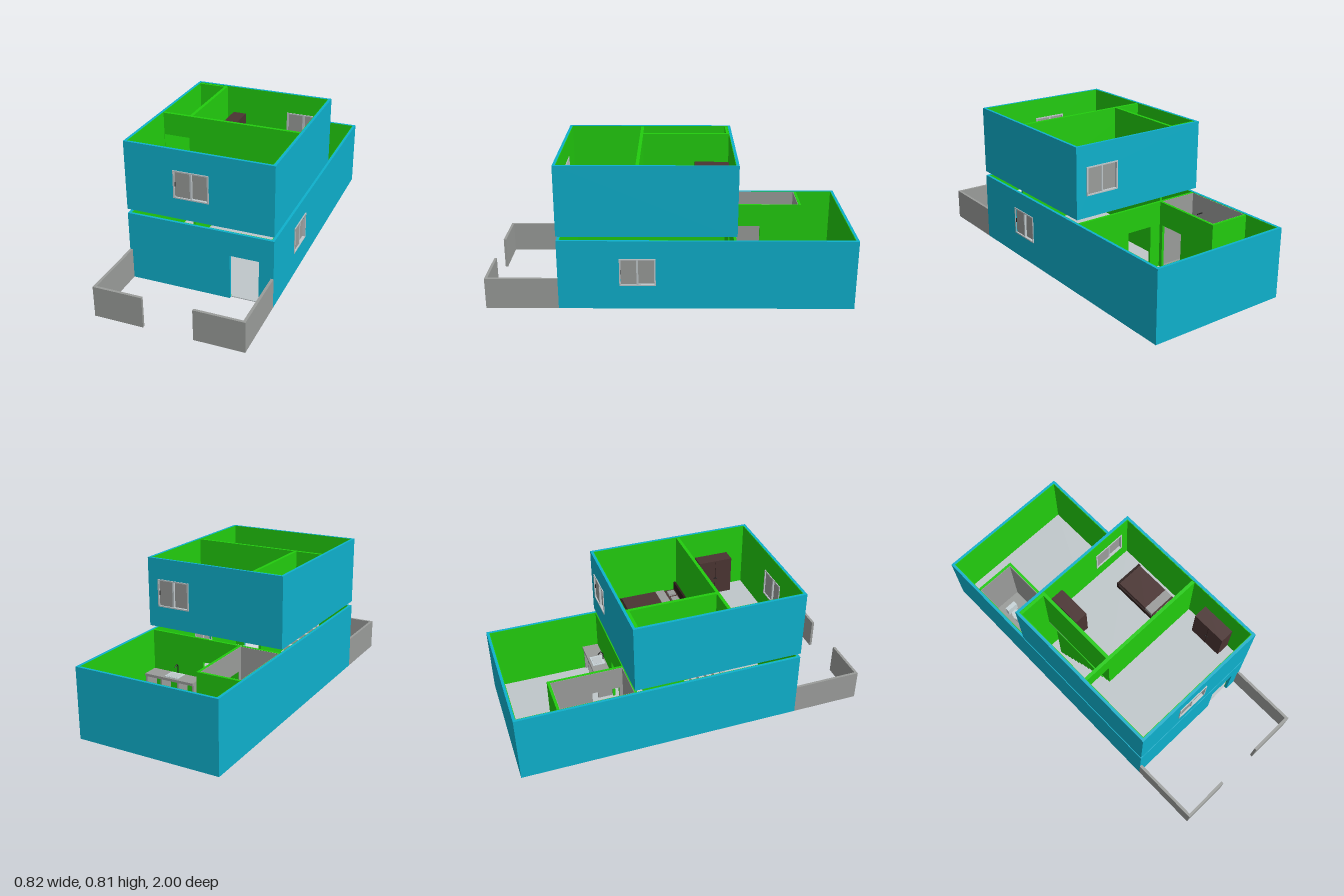
import * as THREE from 'three';

const mat = (name, color, side = THREE.FrontSide) => {
  const m = new THREE.MeshStandardMaterial({ color, side });
  m.name = name;
  return m;
};

export function createModel() {
  const blue = mat('outer wall blue', 0x0eb0cc);
  const green = mat('inner wall green', 0x22cc0e);
  const pale = mat('pale floor', 0xbfc7ca);
  const grey = mat('concrete grey', 0x9a9c9a);
  const brown = mat('dark wood', 0x4a3432);
  const darkBrown = mat('bed frame wood', 0x2c1d1b);
  const black = mat('black metal', 0x222222);
  const white = mat('ceramic', 0xc8d4d8);

  const root = new THREE.Group();
  root.name = 'house';
  const group = (name, parent = root) => {
    const g = new THREE.Group();
    g.name = name;
    parent.add(g);
    return g;
  };
  const add = (name, geo, m, parent) => {
    const mesh = new THREE.Mesh(geo, m);
    mesh.name = name;
    parent.add(mesh);
    return mesh;
  };
  // Box given by its limits on each axis
  const box = (name, m, [x0, x1], [y0, y1], [z0, z1], parent) =>
    add(name, new THREE.BoxGeometry(x1 - x0, y1 - y0, z1 - z0)
      .translate((x0 + x1) / 2, (y0 + y1) / 2, (z0 + z1) / 2), m, parent);

  // Upright panel along 'x' or 'z'; hole = [u0, u1, y0, y1], open at the foot for a door
  const panel = (name, m, axis, [u0, u1], [y0, y1], [c0, c1], parent, hole) => {
    const pts = [[u0, y0]];
    const door = hole && hole[2] <= y0;
    if (door) pts.push([hole[0], y0], [hole[0], hole[3]], [hole[1], hole[3]], [hole[1], y0]);
    pts.push([u1, y0], [u1, y1], [u0, y1]);
    const shape = new THREE.Shape(pts.map(p => new THREE.Vector2(...p)));
    if (hole && !door) {
      const [a, b, c, d] = hole;
      shape.holes.push(new THREE.Path([[a, c], [a, d], [b, d], [b, c]].map(p => new THREE.Vector2(...p))));
    }
    const geo = new THREE.ExtrudeGeometry(shape, { depth: c1 - c0, bevelEnabled: false });
    if (axis === 'x') geo.translate(0, 0, c0);
    else geo.rotateY(-Math.PI / 2).translate(c1, 0, 0);
    return add(name, geo, m, parent);
  };

  // Four outer walls of a storey, each blue outside with a thin green lining
  const storey = (name, [z0, z1], [y0, y1], holes) => {
    const g = group(name), X = 0.41, T = 0.015, L = 0.003;
    const y = [y0, y1], yl = [y0, y1 - 0.001];
    panel('frontWall', blue, 'x', [-X, X], y, [z1 - T, z1], g, holes.front);
    panel('frontLining', green, 'x', [-X + T, X - T], yl, [z1 - T - L, z1 - T], g, holes.front);
    panel('backWall', blue, 'x', [-X, X], y, [z0, z0 + T], g, holes.back);
    panel('backLining', green, 'x', [-X + T, X - T], yl, [z0 + T, z0 + T + L], g, holes.back);
    panel('leftWall', blue, 'z', [z0 + T, z1 - T], y, [X - T, X], g, holes.left);
    panel('leftLining', green, 'z', [z0 + T, z1 - T], yl, [X - T - L, X - T], g, holes.left);
    panel('rightWall', blue, 'z', [z0 + T, z1 - T], y, [-X, -X + T], g);
    panel('rightLining', green, 'z', [z0 + T, z1 - T], yl, [-X + T, -X + T + L], g);
    return g;
  };

  const G = [0.005, 0.4], U = [0.425, 0.815];
  const ground = storey('groundFloor', [-1, 0.605], G, {
    front: [0.17, 0.33, 0.005, 0.265], left: [0.085, 0.265, 0.145, 0.295] });
  const upper = storey('upperFloor', [-0.355, 0.605], U, {
    front: [-0.13, 0.055, 0.55, 0.695], back: [0.155, 0.345, 0.55, 0.695] });

  // Floors, the upper one open above the stairs
  box('groundSlab', pale, [-0.395, 0.395], [0.005, 0.01], [-0.985, 0.59], ground);
  box('frontRoomFloor', pale, [-0.395, 0.395], [0.425, 0.432], [0.16, 0.59], upper);
  box('bedroomFloor', pale, [-0.24, 0.395], [0.425, 0.432], [-0.34, 0.16], upper);

  // Ground floor partitions
  panel('kitchenWall', green, 'x', [-0.39, 0.39], [0, 0.399], [-0.352, -0.338], ground, [-0.085, 0.07, 0, 0.265]);
  panel('bathroomBackWall', green, 'x', [-0.39, -0.15], [0, 0.399], [-0.77, -0.755], ground);
  panel('bathroomSideWall', green, 'z', [-0.755, -0.352], [0, 0.399], [-0.165, -0.15], ground, [-0.53, -0.375, 0, 0.265]);
  panel('stairSideWall', green, 'z', [-0.26, 0.16], [0, 0.399], [-0.24, -0.225], ground);

  // Upper floor partitions
  panel('bedroomWall', green, 'x', [-0.395, 0.395], [0.425, 0.812], [0.16, 0.178], upper, [-0.39, -0.24, 0.425, 0.685]);
  panel('stairwellWall', green, 'z', [-0.322, 0.16], [0.425, 0.812], [-0.24, -0.222], upper);
  panel('stairwellBackWall', green, 'x', [-0.395, -0.222], [0.425, 0.812], [-0.337, -0.322], upper);

  // Bathroom tiles, toilet and tap
  const bath = group('bathroom');
  box('tileFloor', grey, [-0.392, -0.165], [0.003, 0.013], [-0.755, -0.352], bath);
  panel('tilesOuter', grey, 'z', [-0.755, -0.352], [0.012, 0.398], [-0.392, -0.389], bath);
  panel('tilesDoorSide', grey, 'z', [-0.755, -0.352], [0.012, 0.398], [-0.168, -0.165], bath, [-0.53, -0.375, 0.012, 0.265]);
  panel('tilesBack', grey, 'x', [-0.389, -0.168], [0.012, 0.398], [-0.755, -0.752], bath);
  panel('tilesFront', grey, 'x', [-0.389, -0.168], [0.012, 0.398], [-0.355, -0.352], bath);
  box('toiletTank', white, [-0.318, -0.25], [0.08, 0.145], [-0.668, -0.642], bath);
  add('toiletBowl', new THREE.CylinderGeometry(0.028, 0.018, 0.075, 24).scale(1, 1, 1.4)
    .translate(-0.284, 0.05, -0.605), white, bath);
  add('toiletSeat', new THREE.CylinderGeometry(0.029, 0.029, 0.006, 24).scale(1, 1, 1.4)
    .translate(-0.284, 0.09, -0.605), white, bath);
  box('showerTap', black, [-0.389, -0.352], [0.3, 0.305], [-0.438, -0.433], bath);

  // Kitchen counter with sink and tap
  const kitchen = group('kitchenCounter');
  box('worktop', grey, [0.08, 0.392], [0.155, 0.17], [-0.447, -0.352], kitchen);
  [0.08, 0.175, 0.285, 0.382].forEach(x =>
    box('counterSupport', grey, [x, x + 0.01], [0, 0.155], [-0.44, -0.352], kitchen));
  box('sinkRim', white, [0.185, 0.27], [0.17, 0.174], [-0.435, -0.36], kitchen);
  box('sinkBasin', pale, [0.195, 0.26], [0.174, 0.175], [-0.427, -0.375], kitchen);
  const tap = new THREE.CatmullRomCurve3([[0.17, -0.363], [0.215, -0.363], [0.228, -0.375], [0.215, -0.392]]
    .map(([y, z]) => new THREE.Vector3(0.228, y, z)));
  add('tap', new THREE.TubeGeometry(tap, 12, 0.003, 8), black, kitchen);

  // Stairs: a sawtooth profile rising to the front
  const steps = 14, run = 0.03, rise = 0.42 / steps;
  const saw = [new THREE.Vector2(-0.26, 0.005)];
  for (let i = 0; i < steps; i++) {
    saw.push(new THREE.Vector2(-0.26 + i * run, 0.005 + (i + 1) * rise),
      new THREE.Vector2(-0.26 + (i + 1) * run, 0.005 + (i + 1) * rise));
  }
  saw.push(new THREE.Vector2(0.16, 0.37), new THREE.Vector2(-0.21, 0.005));
  add('stairs', new THREE.ExtrudeGeometry(new THREE.Shape(saw), { depth: 0.15, bevelEnabled: false })
    .rotateY(-Math.PI / 2).translate(-0.241, 0, 0), pale, root);

  // Sliding windows, built facing +z about their centre
  const makeWindow = (name, x, y, z, turn) => {
    const g = group(name), w = 0.098, h = 0.078;
    panel('frame', pale, 'x', [-w, w], [-h, h], [-0.015, 0.012], g, [-w + 0.008, w - 0.008, -h + 0.007, h - 0.007]);
    box('slidingPane', grey, [-0.09, -0.005], [-0.071, 0.071], [0, 0.004], g);
    box('fixedPane', grey, [0.003, 0.09], [-0.071, 0.071], [-0.008, -0.004], g);
    box('middleBar', pale, [-0.006, 0.004], [-0.071, 0.071], [-0.01, 0.008], g);
    box('handle', black, [-0.09, -0.087], [-0.012, 0.012], [0.004, 0.009], g);
    g.position.set(x, y, z);
    g.rotation.y = turn;
  };
  makeWindow('upperFrontWindow', -0.038, 0.622, 0.598, 0);
  makeWindow('upperBackWindow', 0.25, 0.622, -0.348, Math.PI);
  makeWindow('groundSideWindow', 0.402, 0.22, 0.175, Math.PI / 2);

  // Wardrobes: side is the direction the doors face
  const wardrobe = (name, [x0, x1], [z0, z1], side) => {
    const g = group(name), zm = (z0 + z1) / 2, face = side > 0 ? x1 : x0;
    box('cabinet', brown, [x0, x1], [0.432, 0.655], [z0, z1], g);
    box('doorGap', darkBrown, [face - 0.001, face + 0.001], [0.44, 0.648], [zm - 0.001, zm + 0.001], g);
    [-0.006, 0.006].forEach(d => add('knob', new THREE.SphereGeometry(0.004, 10, 8)
      .translate(face + side * 0.004, 0.54, zm + d), black, g));
  };
  wardrobe('bedroomWardrobe', [-0.185, -0.107], [-0.337, -0.14], 1);
  wardrobe('frontRoomWardrobe', [0.312, 0.392], [0.28, 0.483], -1);

  // Bed
  const bed = group('bed');
  box('bedFrame', darkBrown, [0.19, 0.367], [0.432, 0.465], [-0.208, 0.145], bed);
  box('headboard', darkBrown, [0.19, 0.367], [0.432, 0.53], [0.135, 0.147], bed);
  box('footboard', darkBrown, [0.19, 0.367], [0.432, 0.485], [-0.21, -0.198], bed);
  box('mattress', brown, [0.2, 0.357], [0.465, 0.485], [-0.195, 0.133], bed);
  box('blanket', brown, [0.198, 0.359], [0.465, 0.49], [-0.195, 0.015], bed);
  box('foldedSheet', grey, [0.198, 0.359], [0.465, 0.491], [0.015, 0.067], bed);
  [0.245, 0.312].forEach(x =>
    box('pillow', grey, [x - 0.021, x + 0.021], [0.485, 0.497], [0.08, 0.122], bed));

  // Low yard walls, mirrored, with a gate gap in the front
  const yard = group('yardWalls');
  [-1, 1].forEach(s => {
    const sx = (a, b) => (s > 0 ? [a, b] : [-b, -a]);
    box('sideYardWall', grey, sx(0.395, 0.41), [0.005, 0.18], [0.605, 1], yard);
    box('frontYardWall', grey, sx(0.137, 0.395), [0.005, 0.18], [0.985, 1], yard);
  });

  return root;
}
